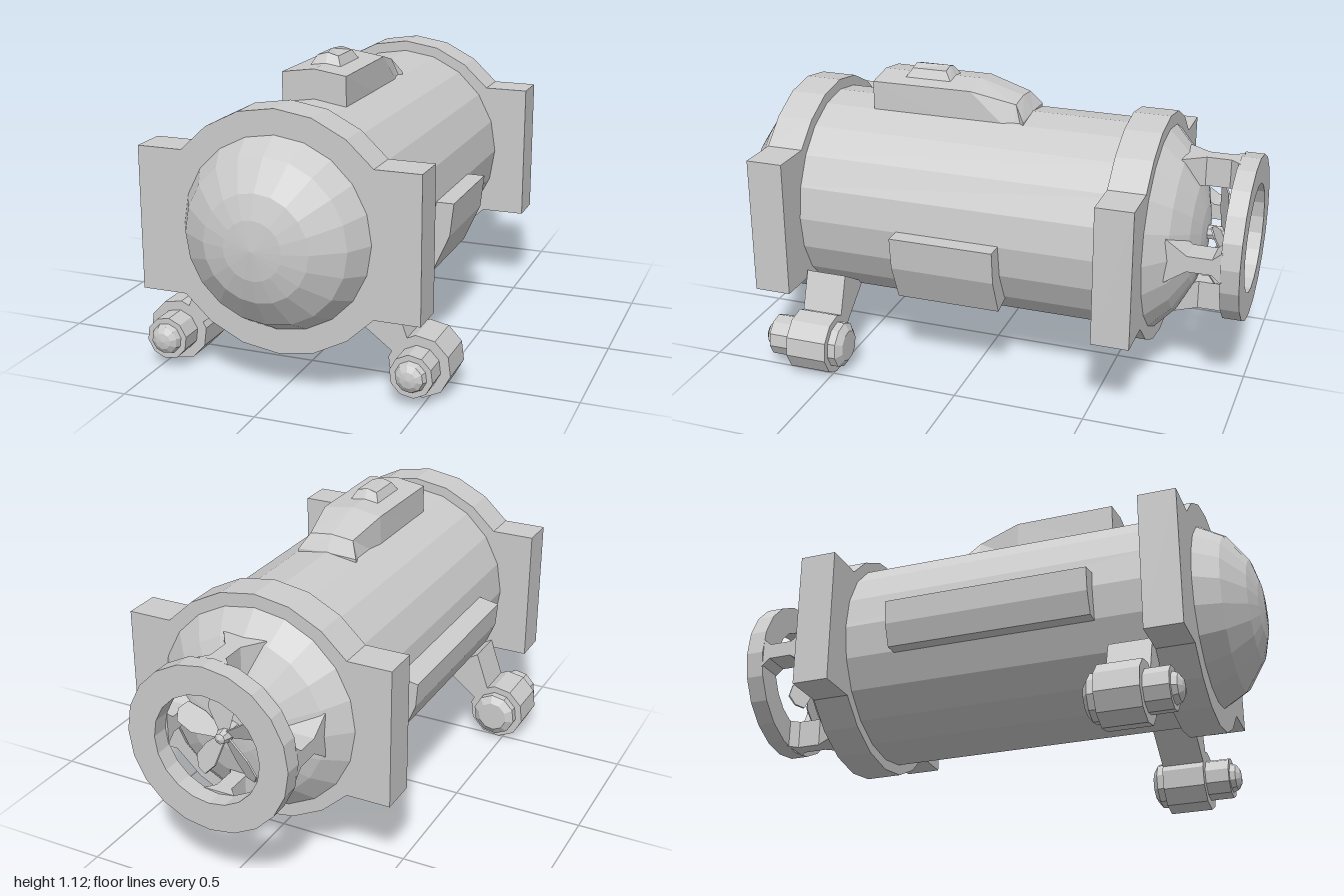
import * as THREE from 'three';

const material = new THREE.MeshStandardMaterial({ color: 0xcccccc, flatShading: true, side: THREE.DoubleSide });
const AXIS_Y = 0.587;

function add(parent, name, geometry, x = 0, y = 0, z = 0) {
  const mesh = new THREE.Mesh(geometry, material);
  mesh.name = name;
  mesh.position.set(x, y, z);
  parent.add(mesh);
  return mesh;
}

// Solid of revolution about z; profile is [radius, z] with z increasing
function turned(profile, sides) {
  return new THREE.LatheGeometry(profile.map(([r, z]) => new THREE.Vector2(r, z)), sides).rotateX(Math.PI / 2);
}

// Flat outline in xy pushed out along z
function plate(points, depth, holes = []) {
  const shape = new THREE.Shape(points.map(([x, y]) => new THREE.Vector2(x, y)));
  holes.forEach(h => shape.holes.push(new THREE.Path(h.map(([x, y]) => new THREE.Vector2(x, y)))));
  return new THREE.ExtrudeGeometry(shape, { depth, bevelEnabled: false });
}

// Regular polygon with a corner at the top
function polygon(radius, sides) {
  return Array.from({ length: sides }, (_, i) => {
    const a = i / sides * Math.PI * 2;
    return [Math.sin(a) * radius, Math.cos(a) * radius];
  });
}

// Capped skin over rings of equal length
function loft(rings) {
  const n = rings[0].length, index = [];
  for (let r = 0; r < rings.length - 1; r++) {
    for (let i = 0; i < n; i++) {
      const a = r * n + i, b = r * n + (i + 1) % n;
      index.push(a, b, b + n, a, b + n, a + n);
    }
  }
  const end = (rings.length - 1) * n;
  for (let i = 1; i < n - 1; i++) index.push(0, i + 1, i, end, end + i, end + i + 1);
  const g = new THREE.BufferGeometry();
  g.setAttribute('position', new THREE.Float32BufferAttribute(rings.flat(2), 3));
  g.setIndex(index);
  const flat = g.toNonIndexed();
  flat.computeVertexNormals();
  return flat;
}

export function createModel() {
  const model = new THREE.Group();
  model.name = 'underwaterVehicle';

  // Hull, nose dome and tail cone
  add(model, 'hull', turned([[0, -0.66], [0.395, -0.66], [0.395, 0.7], [0, 0.7]], 20), 0, AXIS_Y);
  add(model, 'noseDome', turned([[0.345, 0.79], [0.345, 0.8], [0.295, 0.89], [0.19, 0.965], [0.105, 0.99], [0, 1]], 20), 0, AXIS_Y);
  add(model, 'tailCone', turned([[0, -0.83], [0.1, -0.82], [0.2, -0.795], [0.305, -0.74], [0.39, -0.66]], 20), 0, AXIS_Y);

  // Collars: round bands with square shoulders on both sides
  const arc = [-3, -2, -1, 0, 1, 2, 3].map(i => {
    const a = i * Math.PI / 10;
    return [Math.sin(a) * 0.435, Math.cos(a) * 0.435];
  });
  arc[0][1] = arc[6][1] = 0.262;
  const outline = [...arc, [0.518, 0.262], [0.518, -0.262],
    ...arc.map(([x, y]) => [-x, -y]), [-0.518, -0.262], [-0.518, 0.262]];
  add(model, 'frontCollar', plate(outline, 0.14), 0, AXIS_Y, 0.66);
  add(model, 'rearCollar', plate(outline, 0.14), 0, AXIS_Y, -0.665);

  // Thruster: duct ring, four flared spars and propeller
  const thruster = new THREE.Group();
  thruster.name = 'thruster';
  thruster.position.y = AXIS_Y;
  model.add(thruster);
  add(thruster, 'ductRing', plate(polygon(0.312, 20), 0.07, [polygon(0.205, 20)]), 0, 0, -1);
  const half = [[0.085, 0.73], [0.03, 0.81], [0.03, 0.9], [0.06, 0.935]];
  const sparOutline = [...half, ...half.map(([t, z]) => [-t, z]).reverse()];
  for (let i = 0; i < 4; i++) {
    const spar = plate(sparOutline, 0.11).rotateX(-Math.PI / 2).translate(0, 0.195, 0);
    add(thruster, 'spar', spar.rotateZ(i * Math.PI / 2));
  }
  add(thruster, 'propellerHub', turned([[0, -0.925], [0.02, -0.915], [0.028, -0.89], [0.028, -0.82]], 8));
  for (let i = 0; i < 5; i++) {
    const blade = plate([[-0.015, 0.01], [0.015, 0.01], [0.05, 0.11], [0.04, 0.175], [0, 0.192], [-0.04, 0.17], [-0.04, 0.1]], 0.006);
    add(thruster, 'propellerBlade', blade.rotateY(0.5).rotateZ(i * Math.PI * 0.4), 0, 0, -0.885);
  }

  // Top housing with ridged roof and sloping tail: [z, half roof width, shoulder y, ridge y]
  const housing = [[-0.138, 0.12, 0.975, 0.98], [-0.1, 0.088, 1.03, 1.04], [0.07, 0.118, 1.072, 1.09], [0.46, 0.122, 1.072, 1.09]];
  add(model, 'topHousing', loft(housing.map(([z, w, s, r]) =>
    [[-0.122, 0.92, z], [0.122, 0.92, z], [w, s, z], [0, r, z], [-w, s, z]])));

  // Small hatch on the housing
  const hatchRing = (w, z0, z1, side, ridge) =>
    [[-w, side, z0], [-w, side, z1], [0, ridge, z1], [w, side, z1], [w, side, z0], [0, ridge, z0]];
  add(model, 'topHatch', loft([hatchRing(0.063, 0.165, 0.36, 1.07, 1.08), hatchRing(0.04, 0.195, 0.33, 1.115, 1.126)]));

  // Bent panels fixed to the sides of the hull
  add(model, 'leftSidePanel', plate([[0.36, 0.59], [0.462, 0.59], [0.448, 0.465], [0.385, 0.322], [0.29, 0.345]], 0.4), 0, 0, -0.135);
  add(model, 'rightSidePanel', plate([[-0.36, 0.65], [-0.465, 0.63], [-0.458, 0.54], [-0.425, 0.46], [-0.35, 0.46]], 0.78), 0, 0, -0.33);

  // Lamp pods on struts beneath the front
  const podProfile = [[0, 0.445], [0.06, 0.445], [0.088, 0.465], [0.088, 0.495], [0.115, 0.495], [0.115, 0.655],
    [0.079, 0.655], [0.079, 0.745], [0.068, 0.745], [0.058, 0.745], [0.05, 0.765], [0.03, 0.778], [0, 0.783]];
  for (const side of [1, -1]) {
    const name = side > 0 ? 'left' : 'right';
    const strut = [[0.37, 0.36], [0.22, 0.27], [0.385, 0.145], [0.43, 0.19]].map(([x, y]) => [x * side, y]);
    add(model, name + 'Strut', plate(strut, 0.16), 0, 0, 0.495);
    add(model, name + 'LampPod', turned(podProfile, 10).rotateZ(side * 0.13), side * 0.467, 0.116);
  }
  return model;
}
